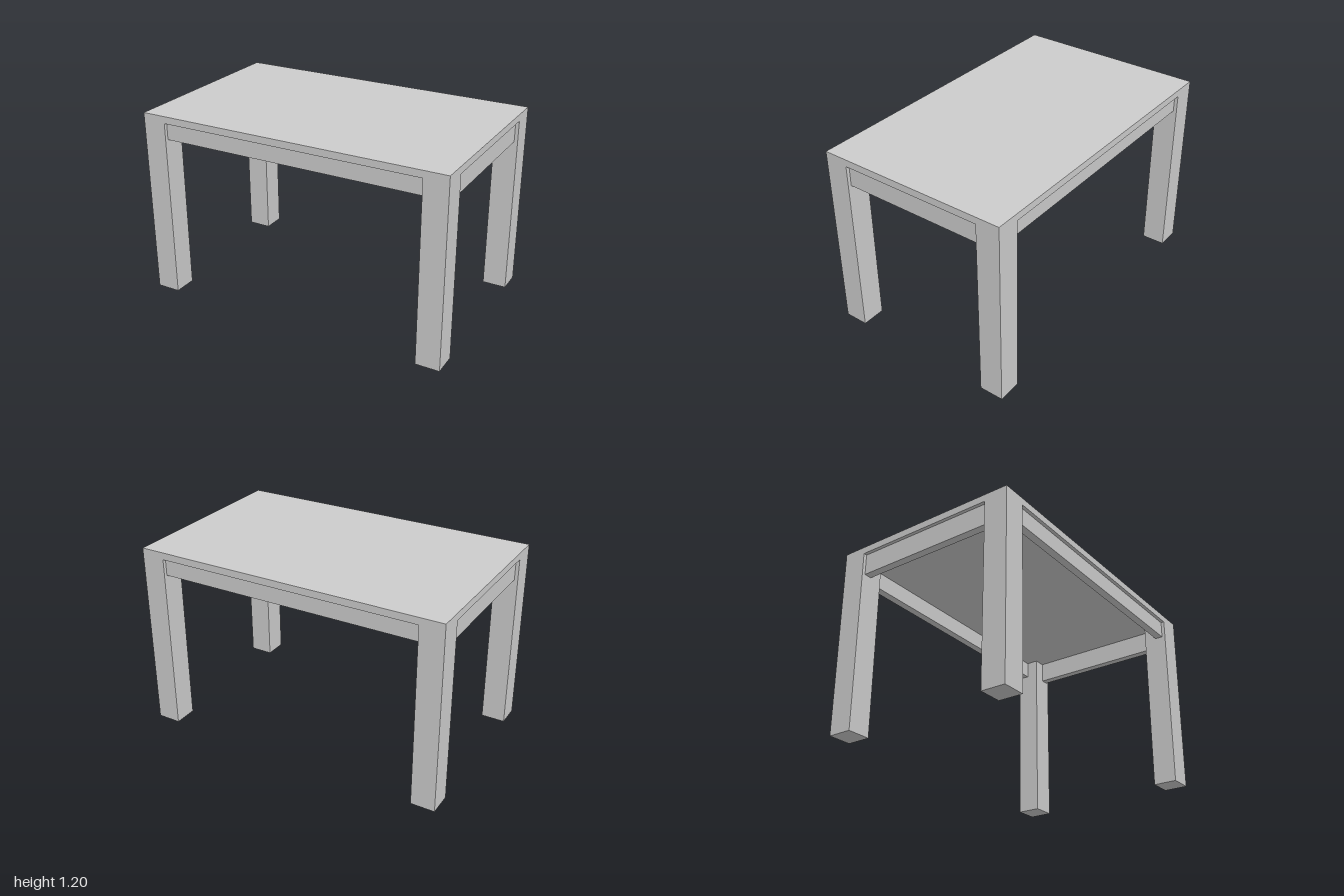
import * as THREE from 'three';

const HALF_W = 1, HALF_D = 0.615, HEIGHT = 1.2;
const TOP = 0.045, LEG = 0.152;
const INSET = 0.022, RAIL = 0.05; // rail setback and thickness
const UNDER = HEIGHT - TOP;

export function createModel() {
  const table = new THREE.Group();
  table.name = 'table';
  const material = new THREE.MeshStandardMaterial({ color: 0xcccccc, flatShading: true });

  // Box given by its size, its centre in plan and its bottom height
  const addBox = (name, w, h, d, x, bottom, z) => {
    const mesh = new THREE.Mesh(new THREE.BoxGeometry(w, h, d), material);
    mesh.position.set(x, bottom + h / 2, z);
    mesh.name = name;
    table.add(mesh);
  };

  addBox('tabletop', 2 * HALF_W, TOP, 2 * HALF_D, 0, UNDER, 0);

  // Square legs, flush with the corners of the top
  for (const [sx, xName] of [[1, 'Left'], [-1, 'Right']]) {
    for (const [sz, zName] of [[1, 'front'], [-1, 'back']]) {
      addBox(`${zName}${xName}Leg`, LEG, UNDER, LEG,
        sx * (HALF_W - LEG / 2), 0, sz * (HALF_D - LEG / 2));
    }
  }

  // Rails between the legs, set back slightly; the side rails are deeper
  const setback = INSET + RAIL / 2;
  const longBottom = 1.045, sideBottom = 1.018;
  for (const [s, longName, sideName] of [[1, 'frontRail', 'leftRail'], [-1, 'backRail', 'rightRail']]) {
    addBox(longName, 2 * (HALF_W - LEG), UNDER - longBottom, RAIL,
      0, longBottom, s * (HALF_D - setback));
    addBox(sideName, RAIL, UNDER - sideBottom, 2 * (HALF_D - LEG),
      s * (HALF_W - setback), sideBottom, 0);
  }

  return table;
}
